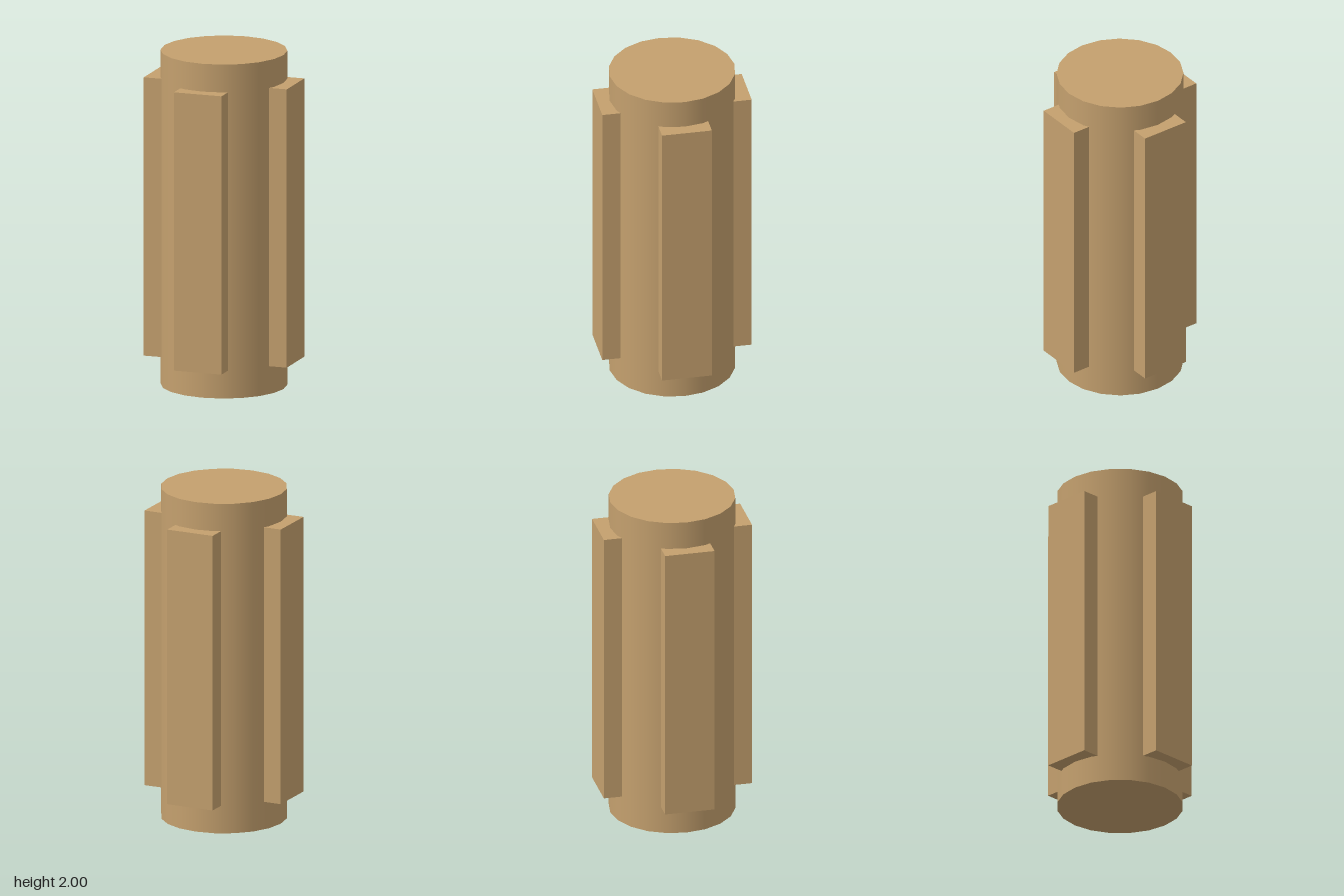
import * as THREE from 'three';

const RADIUS = 0.37, HEIGHT = 2;
const KEY_WIDTH = 0.296, KEY_HEIGHT = 1.667, KEY_INNER = 0.3, KEY_OUTER = 0.444;

export function createModel() {
  const model = new THREE.Group();
  model.name = 'splinedShaft';

  const tan = new THREE.MeshStandardMaterial({ color: 0xc4a06e });
  tan.name = 'tan';

  // Smooth-sided round core
  const shaft = new THREE.Mesh(new THREE.CylinderGeometry(RADIUS, RADIUS, HEIGHT, 20), tan);
  shaft.name = 'shaft';
  shaft.position.y = HEIGHT / 2;
  model.add(shaft);

  // Four upright keys around the core, sunk into its surface
  const keyGeometry = new THREE.BoxGeometry(KEY_WIDTH, KEY_HEIGHT, KEY_OUTER - KEY_INNER);
  keyGeometry.translate(0, HEIGHT / 2, (KEY_OUTER + KEY_INNER) / 2);
  ['frontKey', 'leftKey', 'backKey', 'rightKey'].forEach((name, i) => {
    const key = new THREE.Mesh(keyGeometry, tan);
    key.name = name;
    key.rotation.y = (i * Math.PI) / 2;
    model.add(key);
  });

  return model;
}
